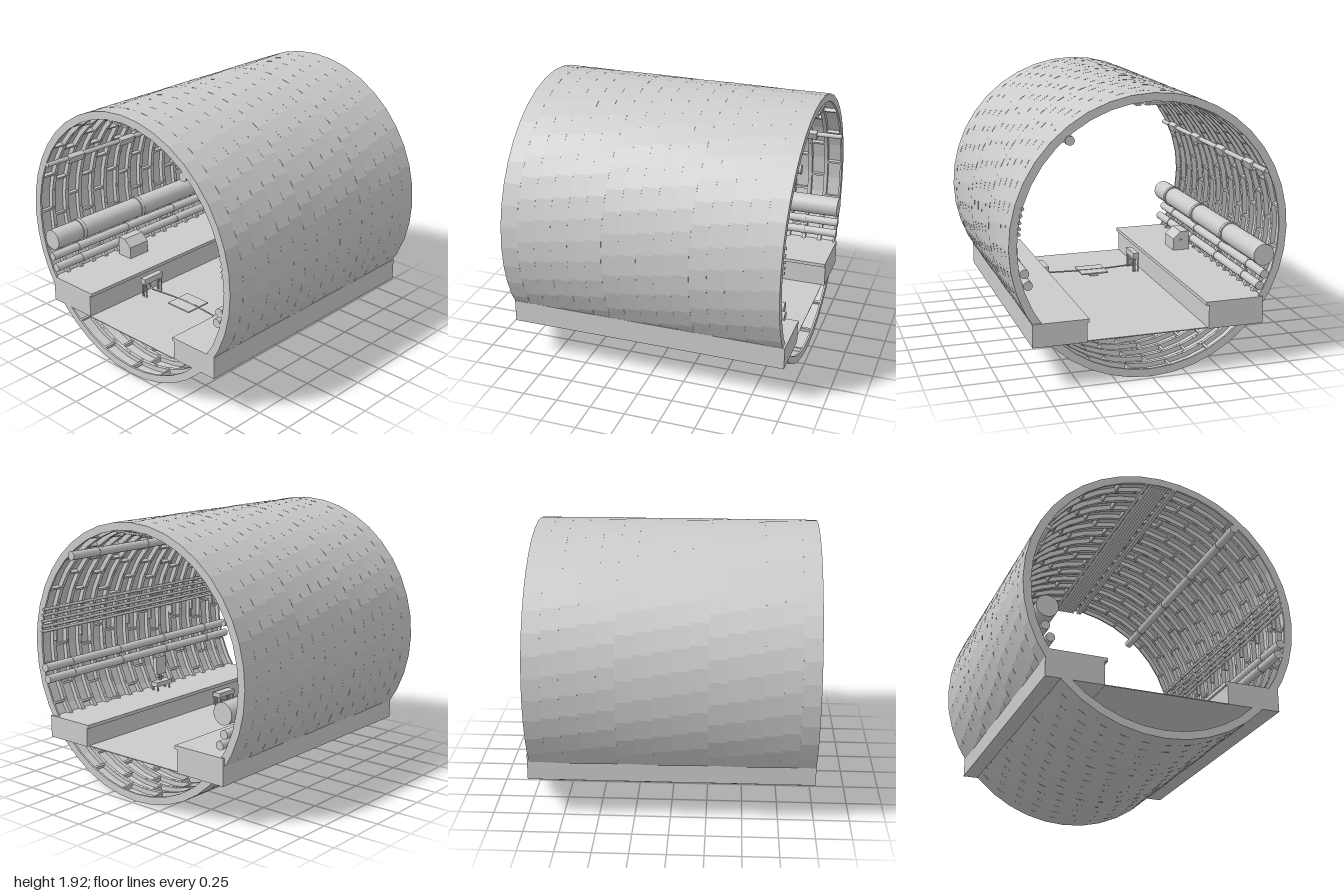
import * as THREE from 'three';

const CY = 0.962, R = 0.962, X0 = -1, X1 = 0.97, RINGS = 16, SIDES = 40;

export function createModel() {
  const root = new THREE.Group();
  root.name = 'tunnelSection';
  const mat = new THREE.MeshStandardMaterial({ color: 0xcccccc });
  const flat = new THREE.MeshStandardMaterial({ color: 0xcccccc, flatShading: true });

  const add = (parent, name, geo, m = flat) => {
    const mesh = new THREE.Mesh(geo, m);
    mesh.name = name;
    parent.add(mesh);
    return mesh;
  };
  const group = (name) => {
    const g = new THREE.Group();
    g.name = name;
    root.add(g);
    return g;
  };
  // Box given by its extents along x, y and z
  const box = (parent, name, xa, xb, ya, yb, za, zb) => {
    const b = add(parent, name, new THREE.BoxGeometry(xb - xa, yb - ya, Math.abs(zb - za)));
    b.position.set((xa + xb) / 2, (ya + yb) / 2, (za + zb) / 2);
    return b;
  };
  // Cross-section of [z, y] points swept along x
  const sweep = (shape, xa, xb) =>
    new THREE.ExtrudeGeometry(shape, { depth: xb - xa, bevelEnabled: false })
      .rotateY(Math.PI / 2).translate(xa, 0, 0);
  const section = (pts) => new THREE.Shape(pts.map(([z, y]) => new THREE.Vector2(-z, y)));
  // Straight round bar along x
  const bar = (parent, name, z, y, r, xa = X0, xb = 0.985, sides = 14) => {
    const c = add(parent, name, new THREE.CylinderGeometry(r, r, xb - xa, sides).rotateZ(Math.PI / 2), mat);
    c.position.set((xa + xb) / 2, y, z);
    return c;
  };
  // Round rod through a few points
  const rod = (parent, name, pts, r) => add(parent, name, new THREE.TubeGeometry(
    new THREE.CatmullRomCurve3(pts.map((p) => new THREE.Vector3(...p))), 16, r, 6), mat);

  // Lining: staggered rings, each a faceted skin with two flanges and cross ribs
  const lining = group('liningRings');
  const circle = (r, phase) => Array.from({ length: SIDES }, (_, i) => {
    const a = phase + (i / SIDES) * Math.PI * 2;
    return new THREE.Vector2(r * Math.cos(a), r * Math.sin(a));
  });
  const annulus = (ro, ri, phase) => {
    const s = new THREE.Shape(circle(ro, phase));
    s.holes.push(new THREE.Path(circle(ri, phase).reverse()));
    return s;
  };
  const width = (X1 - X0) / RINGS, step = (Math.PI * 2) / SIDES;
  const stagger = [0, 0.3, 0.6, 0.15, 0.45];
  for (let i = 0; i < RINGS; i++) {
    const phase = stagger[(i * 2) % 5] * step;
    const ring = new THREE.Group();
    ring.name = 'liningRing';
    ring.position.set(X0 + i * width, CY, 0);
    lining.add(ring);
    add(ring, 'skin', sweep(annulus(R, 0.942, phase), 0, width));
    const flange = sweep(annulus(0.944, 0.908, phase), 0, 0.014);
    add(ring, 'flange', flange);
    add(ring, 'flange', flange).position.x = width - 0.014;
    for (let k = 0; k < 20; k++) {
      const a = phase + (k * 2 + (i % 2)) * step;
      const rib = add(ring, 'crossRib', new THREE.BoxGeometry(width - 0.02, 0.03, 0.016));
      rib.position.set(width / 2, 0.929 * Math.sin(a), -0.929 * Math.cos(a));
      rib.rotation.x = Math.PI / 2 + a - Math.PI / 2 + Math.PI / 2;
      rib.rotation.x = Math.atan2(-Math.cos(a), Math.sin(a));
    }
  }

  // Walkways with an overhanging inner lip
  const walkways = group('walkways');
  add(walkways, 'leftWalkway', sweep(section([
    [0.82, 0.30], [0.45, 0.30], [0.45, 0.435], [0.435, 0.435], [0.435, 0.46], [0.82, 0.46],
  ].reverse()), X0, 0.985));
  add(walkways, 'rightWalkway', sweep(section([
    [-0.80, 0.30], [-0.80, 0.49], [-0.385, 0.49], [-0.385, 0.465], [-0.405, 0.465], [-0.405, 0.30],
  ]), X0, 0.985));
  box(walkways, 'trackFloor', X0, 0.965, 0.297, 0.303, -0.405, 0.45);

  // Service pipes with sleeves and wall hooks
  const pipes = group('servicePipes');
  const duct = (z, y, r, sides, gap) => {
    bar(pipes, 'pipe', z, y, r, X0, 0.985, sides);
    for (let x = -0.75; x < 0.98; x += gap) {
      bar(pipes, 'sleeve', z, y, r * 1.12, x - 0.015, x + 0.015, sides);
      const d = Math.hypot(z, y - CY), s = 0.925 / d;
      rod(pipes, 'wallHook', [[x, y, z], [x, CY + (y - CY) * (1 + s) / 2, z * (1 + s) / 2],
        [x, CY + (y - CY) * s, z * s]], 0.007);
    }
  };
  duct(-0.795, 0.785, 0.075, 20, 0.58);
  for (const [z, y] of [[-0.805, 0.648], [-0.77, 0.57], [0.865, 0.805], [0.843, 0.724], [0.558, 1.648]])
    duct(z, y, 0.031, 14, 0.49);

  // Side cables on brackets
  const cables = group('wallCables');
  const lines = [[0.895, 1.065], [0.892, 1.1], [0.888, 1.14], [0.88, 1.185], [0.868, 1.23]];
  for (const [z, y] of lines) bar(cables, 'cable', z, y, 0.011, X0, 0.98, 8);
  for (let i = 0; i < 8; i++) {
    const x = -0.88 + i * 0.246;
    for (const [z, y] of lines) box(cables, 'cableClip', x, x + 0.015, y - 0.016, y - 0.008, z - 0.012, z + 0.03);
    box(cables, 'bracketFoot', x, x + 0.015, 0.98, 1.05, 0.88, 0.91);
  }

  // Overhead cable tray
  const tray = group('overheadTray');
  for (const z of [0.115, 0.095, 0.05, 0.03, 0.01, -0.01, -0.03, -0.05, -0.07, -0.1])
    bar(tray, 'cable', z, 1.854, 0.01, X0, 0.98, 8);
  for (let i = 0; i < 8; i++) {
    const x = -0.88 + i * 0.246;
    box(tray, 'hanger', x, x + 0.02, 1.862, 1.874, -0.12, 0.125);
  }

  // Lighting trunking with lamps on the right wall
  const lights = group('lighting');
  bar(lights, 'trunking', -0.797, 1.365, 0.018, X0, 0.98, 8);
  for (let i = 0; i < 4; i++) {
    const lamp = add(lights, 'lamp', new THREE.BoxGeometry(0.14, 0.06, 0.04));
    lamp.position.set(-0.75 + i * 0.49, 1.36, -0.79);
    lamp.rotation.x = 0.45;
  }

  // Sign post on the left walkway
  const sign = group('signPost');
  box(sign, 'base', -0.12, 0.04, 0.495, 0.53, 0.655, 0.72);
  for (const x of [-0.11, 0.02]) for (const z of [0.66, 0.705])
    box(sign, 'foot', x, x + 0.01, 0.46, 0.5, z, z + 0.01);
  for (const z of [0.69, 0.71]) bar(sign, 'stem', z, 0, 0.005, -0.03, 0.03, 8)
    .position.set(-0.04, 0.555, z);
  for (const z of [0.69, 0.705]) box(sign, 'stem', -0.045, -0.035, 0.53, 0.585, z, z + 0.008);
  box(sign, 'panel', -0.09, 0.01, 0.58, 0.72, 0.688, 0.72);

  // Sloped cabinet on the right walkway
  const cabinet = group('cabinet');
  add(cabinet, 'body', sweep(section([
    [-0.605, 0.49], [-0.73, 0.49], [-0.73, 0.635], [-0.665, 0.635], [-0.605, 0.58],
  ].reverse()), -0.42, -0.24));
  box(cabinet, 'handle', -0.24, -0.23, 0.565, 0.575, -0.69, -0.655);

  // Trackside boxes on legs, joined by a conduit across the floor
  const track = group('tracksideUnits');
  const unit = (x, za, zb, y, h) => {
    box(track, 'unitBox', x - 0.09, x + 0.09, y, y + h, za, zb);
    for (const lx of [x - 0.08, x + 0.07]) for (const z of [za, (za + zb) / 2, zb - 0.01])
      box(track, 'unitLeg', lx, lx + 0.01, 0.303, y, z, z + 0.01);
  };
  unit(-0.45, 0.36, 0.43, 0.375, 0.035);
  unit(-0.45, -0.365, -0.32, 0.41, 0.045);
  rod(track, 'conduit', [[-0.45, 0.338, 0.41], [-0.42, 0.338, 0.1], [-0.42, 0.338, -0.1], [-0.45, 0.338, -0.34]], 0.006);
  rod(track, 'riser', [[-0.45, 0.338, -0.33], [-0.45, 0.36, -0.36], [-0.45, 0.42, -0.365]], 0.006);
  box(track, 'beaconPlate', -0.52, -0.32, 0.33, 0.34, -0.1, 0.11);
  box(track, 'beaconBody', -0.48, -0.36, 0.303, 0.332, -0.03, 0.035);

  return root;
}
